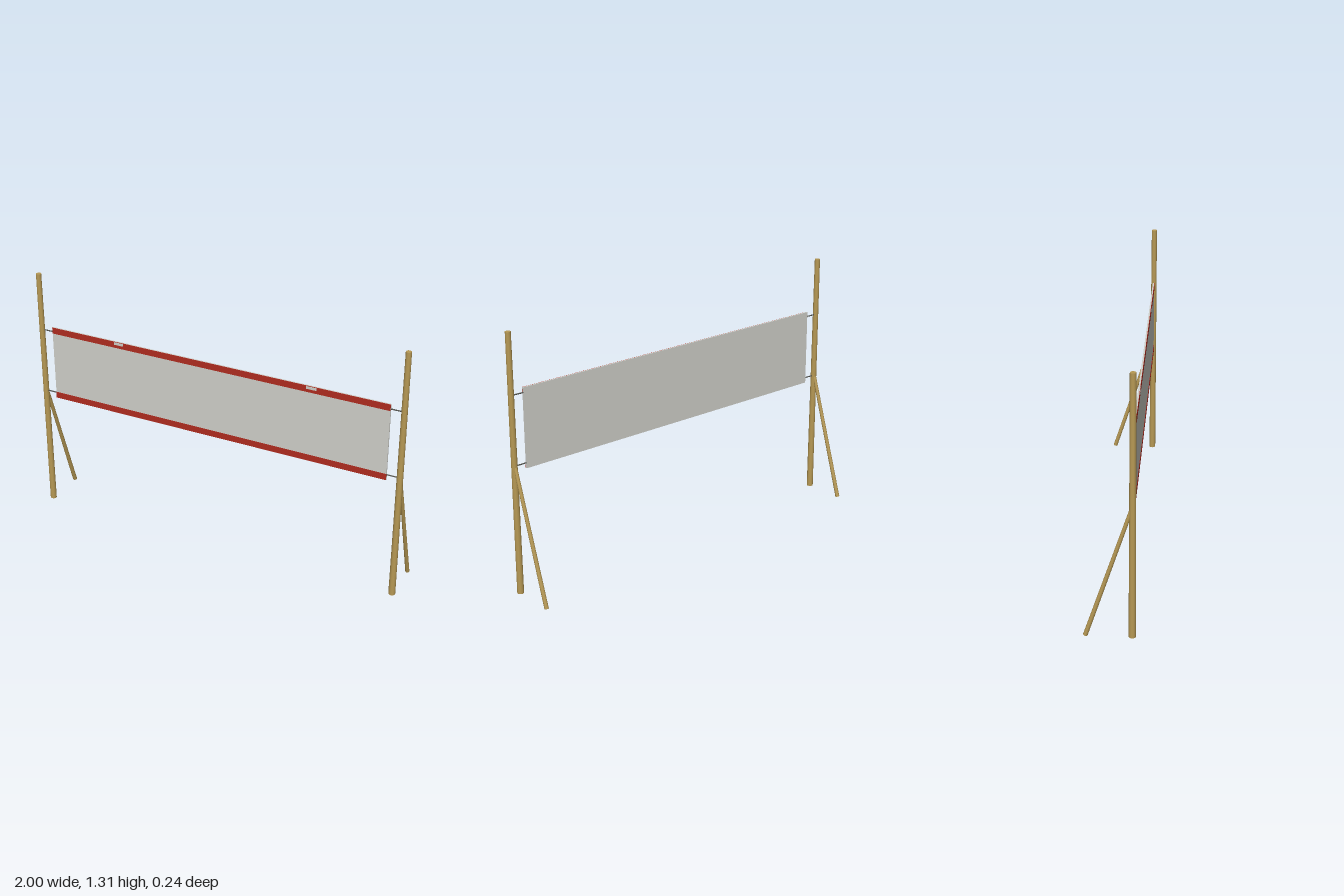
import * as THREE from 'three';

const mat = (name, color) => {
  const m = new THREE.MeshStandardMaterial({ color });
  m.name = name;
  return m;
};

export function createModel() {
  const group = new THREE.Group();
  const wood = mat('bamboo', 0xb89a55);
  const cloth = mat('cloth grey', 0xd0d0ca);
  const red = mat('red trim', 0xb02c20);
  const cord = mat('dark cord', 0x55554f);

  const add = (name, geometry, material, x = 0, y = 0, z = 0) => {
    const mesh = new THREE.Mesh(geometry, material);
    mesh.name = name;
    mesh.position.set(x, y, z);
    group.add(mesh);
    return mesh;
  };

  // A round pole between two points
  const pole = (name, a, b, rA, rB, material, sides) => {
    const dir = b.clone().sub(a);
    const mesh = add(name, new THREE.CylinderGeometry(rB, rA, dir.length(), sides), material);
    mesh.position.copy(a).add(b).multiplyScalar(0.5);
    mesh.quaternion.setFromUnitVectors(new THREE.Vector3(0, 1, 0), dir.normalize());
  };
  const v = (x, y, z) => new THREE.Vector3(x, y, z);

  const Z = 0.106;
  const postX = 0.983;
  for (const s of [-1, 1]) {
    const side = s > 0 ? 'left' : 'right';
    // Tapered post and its rear brace
    pole(side + 'Post', v(s * postX, 0.005, Z), v(s * postX, 1.315, Z), 0.017, 0.014, wood, 10);
    pole(side + 'Brace', v(s * postX, 0.006, -0.109), v(s * postX, 0.68, Z), 0.011, 0.009, wood, 8);

    // Cords tying the banner to the post
    for (const y of [1.01, 0.662]) {
      pole(side + 'Cord', v(s * 0.9, y, Z), v(s * postX, y, Z), 0.003, 0.003, cord, 6);
    }
  }

  // Banner sheet
  const width = 1.834;
  const thick = 0.008;
  add('banner', new THREE.BoxGeometry(width, 0.4, thick), cloth, 0, 0.835, Z + 0.001);

  // Red bands on the front only
  const front = Z + 0.001 + thick / 2;
  for (const [name, y] of [['topBand', 1.0185], ['bottomBand', 0.6515]]) {
    add(name, new THREE.BoxGeometry(width, 0.033, 0.002), red, 0, y, front + 0.0005);
  }

  // Small pale tabs on the top band
  for (const x of [-0.525, 0.522]) {
    add('tab', new THREE.BoxGeometry(0.053, 0.014, 0.002), cloth, x, 1.0255, front + 0.0015);
  }

  return group;
}
